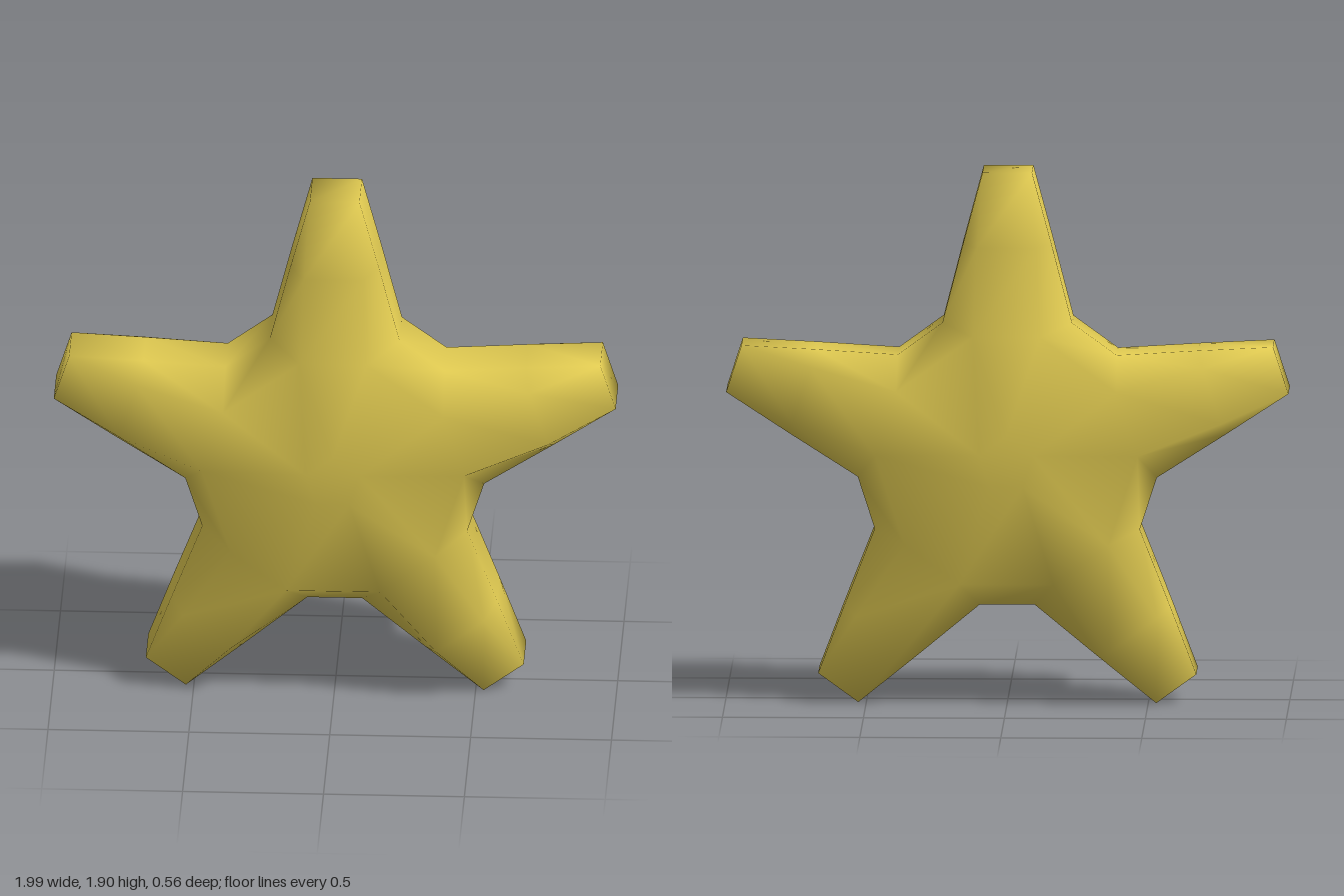
import * as THREE from 'three';
import { mergeVertices } from 'three/addons/utils/BufferGeometryUtils.js';

const CENTER_Y = 0.885;
const ARMS = 5;

// Arm sections from root to tip: distance of ridge and side corners from the
// centre, half width and depth of the ridge, half width of the side
const SECTIONS = [
  { ridgeU: 0.45, sideU: 0.483, ridge: 0.12, depth: 0.245, side: 0.23 },
  { ridgeU: 0.765, sideU: 0.765, ridge: 0.105, depth: 0.21, side: 0.157 },
  { ridgeU: 1.02, sideU: 1.02, ridge: 0.088, depth: 0.1, side: 0.088 },
];
const SIDE_DEPTH = 0.1;

// Point at distance u along arm k, offset v across it
function armPoint(k, u, v, z) {
  const a = (k % ARMS) * Math.PI * 2 / ARMS;
  const s = Math.sin(a), c = Math.cos(a);
  return [s * u + c * v, CENTER_Y + c * u - s * v, z];
}

// Eight-sided cross-section of arm k
function armRing(k, { ridgeU, sideU, ridge, depth, side }) {
  return [
    armPoint(k, ridgeU, -ridge, depth), armPoint(k, ridgeU, ridge, depth),
    armPoint(k, sideU, side, SIDE_DEPTH), armPoint(k, sideU, side, -SIDE_DEPTH),
    armPoint(k, ridgeU, ridge, -depth), armPoint(k, ridgeU, -ridge, -depth),
    armPoint(k, sideU, -side, -SIDE_DEPTH), armPoint(k, sideU, -side, SIDE_DEPTH),
  ];
}

function buildStar() {
  const positions = [];
  const same = (a, b) => a.every((n, i) => Math.abs(n - b[i]) < 1e-6);
  const tri = (a, b, c) => {
    if (!same(a, b) && !same(b, c) && !same(a, c)) positions.push(...a, ...b, ...c);
  };
  const quad = (a, b, c, d) => { tri(a, b, c); tri(a, c, d); };
  const flip = (p) => [p[0], p[1], -p[2]];
  // The same face on the front and, reversed, on the back
  const both = (...p) => {
    const q = p.map(flip).reverse();
    if (p.length === 3) { tri(...p); tri(...q); } else { quad(...p); quad(...q); }
  };

  const center = [0, CENTER_Y, 0.28];
  for (let k = 0; k < ARMS; k++) {
    const rings = SECTIONS.map((s) => armRing(k, s));
    const root = rings[0], next = armRing(k + 1, SECTIONS[0]);

    // Arm skin
    for (let j = 0; j < rings.length - 1; j++) {
      for (let i = 0; i < 8; i++) {
        const n = (i + 1) % 8;
        quad(rings[j][i], rings[j][n], rings[j + 1][n], rings[j + 1][i]);
      }
    }
    // Square tip
    const tip = rings[2];
    quad(tip[0], tip[2], tip[3], tip[6]);

    // Valley between this arm and the next
    both(root[1], next[0], next[7], root[2]);
    quad(root[2], next[7], next[6], root[3]);

    // Domed middle
    const inner = armPoint(k, 0.1, 0, 0.277);
    const innerNext = armPoint(k + 1, 0.1, 0, 0.277);
    both(center, innerNext, inner);
    both(inner, root[1], root[0]);
    both(inner, innerNext, next[0], root[1]);
  }

  const geometry = new THREE.BufferGeometry();
  geometry.setAttribute('position', new THREE.Float32BufferAttribute(positions, 3));
  const smooth = mergeVertices(geometry, 1e-4);
  smooth.computeVertexNormals();
  return smooth;
}

export function createModel() {
  const yellow = new THREE.MeshStandardMaterial({ color: 0xdec850 });
  yellow.name = 'starYellow';
  const star = new THREE.Mesh(buildStar(), yellow);
  star.name = 'starBody';
  const group = new THREE.Group();
  group.name = 'star';
  group.add(star);
  return group;
}
